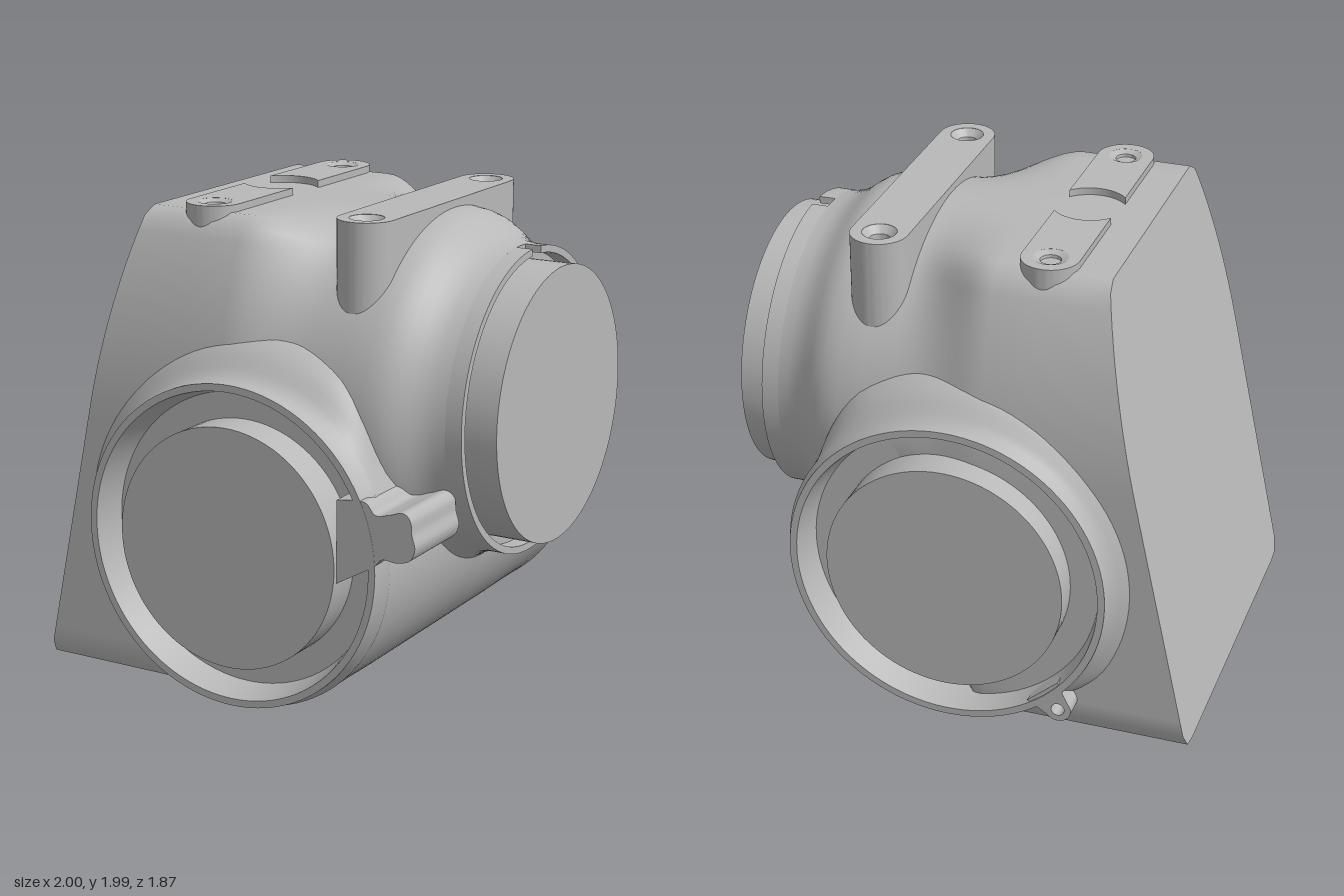
import * as THREE from 'three';
import { toCreasedNormals } from 'three/addons/utils/BufferGeometryUtils.js';

const ZC = -0.02;              // centre plane of the body
const PORT_Y = 1.21;           // height of the side port axis
const DRUM_Y = 0.7;            // height of the cross drum axis
const v2 = (x, y) => new THREE.Vector2(x, y);
const step = THREE.MathUtils.smoothstep;

const grey = new THREE.MeshStandardMaterial({ color: 0xb8b8b8 });
grey.name = 'castGrey';

function part(name, geo, crease = 0.6) {
  const mesh = new THREE.Mesh(toCreasedNormals(geo, crease), grey);
  mesh.name = name;
  return mesh;
}

// Housing: wide arched section at the slanted back, blending into the round port
function housingGeometry() {
  const N = 96;
  const arch = new THREE.Shape();
  arch.moveTo(0, 0.01);
  arch.lineTo(0.72, 0.01);
  arch.quadraticCurveTo(0.8, 0.01, 0.8, 0.09);
  arch.lineTo(0.8, 1.15);
  arch.bezierCurveTo(0.8, 1.5, 0.7, 1.78, 0.62, 1.93);
  arch.quadraticCurveTo(0.6, 1.97, 0.55, 1.97);
  arch.lineTo(-0.55, 1.97);
  arch.quadraticCurveTo(-0.6, 1.97, -0.62, 1.93);
  arch.bezierCurveTo(-0.7, 1.78, -0.8, 1.5, -0.8, 1.15);
  arch.lineTo(-0.8, 0.09);
  arch.quadraticCurveTo(-0.8, 0.01, -0.72, 0.01);
  arch.lineTo(0, 0.01);
  const archPts = arch.getSpacedPoints(N).slice(0, N);

  // [x, port radius]; the first station lies on the slanted back
  const stations = [[-1, 0.76], [-0.5, 0.76], [-0.3, 0.76]];
  for (let i = 0; i <= 10; i++) stations.push([-0.12 + i * 0.04, 0.76]);
  stations.push([0.4, 0.76], [0.5, 0.76], [0.56, 0.75], [0.6, 0.735], [0.64, 0.71],
    [0.68, 0.678], [0.72, 0.655], [0.76, 0.64], [0.81, 0.633]);

  const pos = [], idx = [];
  stations.forEach(([x, r], i) => {
    const w = step(x, -0.12, 0.28);
    archPts.forEach((p, j) => {
      const a = (j / N) * Math.PI * 2;
      const z = THREE.MathUtils.lerp(p.x, Math.sin(a) * r, w);
      const y = THREE.MathUtils.lerp(p.y, PORT_Y - Math.cos(a) * r, w);
      pos.push(i === 0 ? -1 + 0.2143 * (y - 0.01) : x, y, z + ZC);
    });
  });
  const last = (stations.length - 1) * N;
  const back = stations.length * N;
  pos.push(-1 + 0.2143 * 0.99, 1.0, ZC, 0.81, PORT_Y, ZC);
  for (let j = 0; j < N; j++) {
    const k = (j + 1) % N;
    for (let i = 0; i < stations.length - 1; i++) {
      const a = i * N, b = a + N;
      idx.push(a + j, b + j, b + k, a + j, b + k, a + k);
    }
    idx.push(back, j, k, back + 1, last + k, last + j);
  }
  const geo = new THREE.BufferGeometry();
  geo.setAttribute('position', new THREE.Float32BufferAttribute(pos, 3));
  geo.setIndex(idx);
  return geo;
}

// Half of the cross drum: outer wall, rim, recess and raised cover
function drumGeometry(side) {
  const s = side > 0 ? 0 : 0.035;
  const profile = [
    [0.69, 0], [0.69, 0.5], [0.83, 0.68 + s], [0.79, 0.75 + s], [0.745, 0.785 + s],
    [0.715, 0.81 + s], [0.69, 0.83 + s], [0.67, 0.865 + s], [0.67, 0.913], [0.64, 0.913],
    [0.61, 0.78], [0.5, 0.78], [0.5, 0.933], [0, 0.933],
  ].map(([r, y]) => v2(r, y));
  const geo = new THREE.LatheGeometry(profile, 96);
  geo.rotateX(side * Math.PI / 2);
  // The fillet swells only where the drum meets the housing (up and back)
  const p = geo.attributes.position;
  for (let i = 0; i < p.count; i++) {
    const x = p.getX(i), y = p.getY(i), r = Math.hypot(x, y);
    if (r <= 0.6901) continue;
    const k = step(Math.cos(Math.atan2(y, x) - Math.PI * 0.75), -0.3, 0.3);
    const f = (0.688 + (r - 0.688) * k) / r;
    p.setXY(i, x * f, y * f);
  }
  geo.translate(0, DRUM_Y, 0);
  return geo;
}

// Mounting rail made of two mirrored halves with a countersunk hole each
function rail(name, x, halfWidth, height, holeDepth, bite) {
  const group = new THREE.Group();
  group.name = name;
  const w = halfWidth, end = 0.51;
  const start = bite ? Math.sqrt(bite * bite - w * w) : 0;
  const shape = new THREE.Shape();
  shape.moveTo(w, start);
  shape.lineTo(w, end);
  shape.absarc(0, end, w, 0, Math.PI, false);
  shape.lineTo(-w, start);
  if (bite) {
    const phi = Math.atan2(start, w);
    shape.absarc(0, 0, bite, Math.PI - phi, phi, true);
  }
  const hole = new THREE.Path();
  hole.absarc(0, end, 0.07, 0, Math.PI * 2, true);
  shape.holes.push(hole);
  for (const turn of [0, Math.PI]) {
    const bar = new THREE.ExtrudeGeometry(shape, { depth: height, bevelEnabled: false, curveSegments: 24 });
    bar.rotateX(-Math.PI / 2).translate(0, 2 - height, 0).rotateY(turn);
    group.add(part('railHalf', bar));
    const cup = new THREE.LatheGeometry([
      v2(0.071, 2), v2(0.042, 2 - holeDepth * 0.5), v2(0.04, 2 - holeDepth), v2(0, 2 - holeDepth),
    ], 32);
    cup.translate(0, 0, -end).rotateY(turn);
    group.add(part('screwHole', cup));
  }
  group.position.set(x, 0, ZC);
  return group;
}

// Rim of the side port, with a small notch at the top
function portRim() {
  const gap = 0.062, top = Math.PI / 2;
  const shape = new THREE.Shape();
  shape.absarc(0, 0, 0.633, top + gap, top - gap + Math.PI * 2, false);
  shape.absarc(0, 0, 0.603, top - gap + Math.PI * 2, top + gap, true);
  const geo = new THREE.ExtrudeGeometry(shape, { depth: 0.08, bevelEnabled: false, curveSegments: 96 });
  return geo.rotateY(Math.PI / 2).translate(0.8, PORT_Y, ZC);
}

// Finger lever beside the front drum
function leverGeometry() {
  const outline = [
    [0.5, 0.98], [0.62, 0.99], [0.67, 0.945], [0.73, 0.955], [0.79, 0.972], [0.823, 0.945],
    [0.83, 0.89], [0.843, 0.835], [0.82, 0.785], [0.76, 0.768], [0.7, 0.77], [0.655, 0.73], [0.5, 0.64],
  ].map(([x, y]) => v2(x, y));
  const shape = new THREE.Shape();
  shape.moveTo(outline[0].x, outline[0].y);
  shape.splineThru(outline.slice(1));
  const geo = new THREE.ExtrudeGeometry(shape, { depth: 0.36, bevelEnabled: false, curveSegments: 60 });
  return geo.translate(0, 0, 0.552);
}

// Small pierced ear on the rear drum rim
function earGeometry() {
  const shape = new THREE.Shape();
  shape.absarc(0, 0, 0.055, -Math.PI / 2, Math.PI / 2, false);
  shape.lineTo(-0.1, 0.085);
  shape.lineTo(-0.1, -0.085);
  const hole = new THREE.Path();
  hole.absarc(0, 0, 0.028, 0, Math.PI * 2, true);
  shape.holes.push(hole);
  const geo = new THREE.ExtrudeGeometry(shape, { depth: 0.1, bevelEnabled: false, curveSegments: 20 });
  return geo.rotateZ(-Math.PI * 0.73).translate(-0.48, 0.16, -0.91);
}

export function createModel() {
  const model = new THREE.Group();
  model.name = 'gearHousing';

  model.add(part('housing', housingGeometry()));
  model.add(part('frontDrum', drumGeometry(1)));
  model.add(part('rearDrum', drumGeometry(-1)));

  // Side port: notched rim and protruding cover
  model.add(part('portRim', portRim()));
  const cover = new THREE.CylinderGeometry(0.57, 0.57, 0.25, 96);
  cover.rotateZ(-Math.PI / 2).translate(0.875, PORT_Y, ZC);
  model.add(part('portCover', cover));

  // Mounting rails on top
  model.add(rail('backRail', -0.315, 0.118, 0.14, 0.024, 0.155));
  model.add(rail('portRail', 0.39, 0.118, 0.6, 0.06, 0));

  model.add(part('lever', leverGeometry()));
  model.add(part('ear', earGeometry()));
  return model;
}
